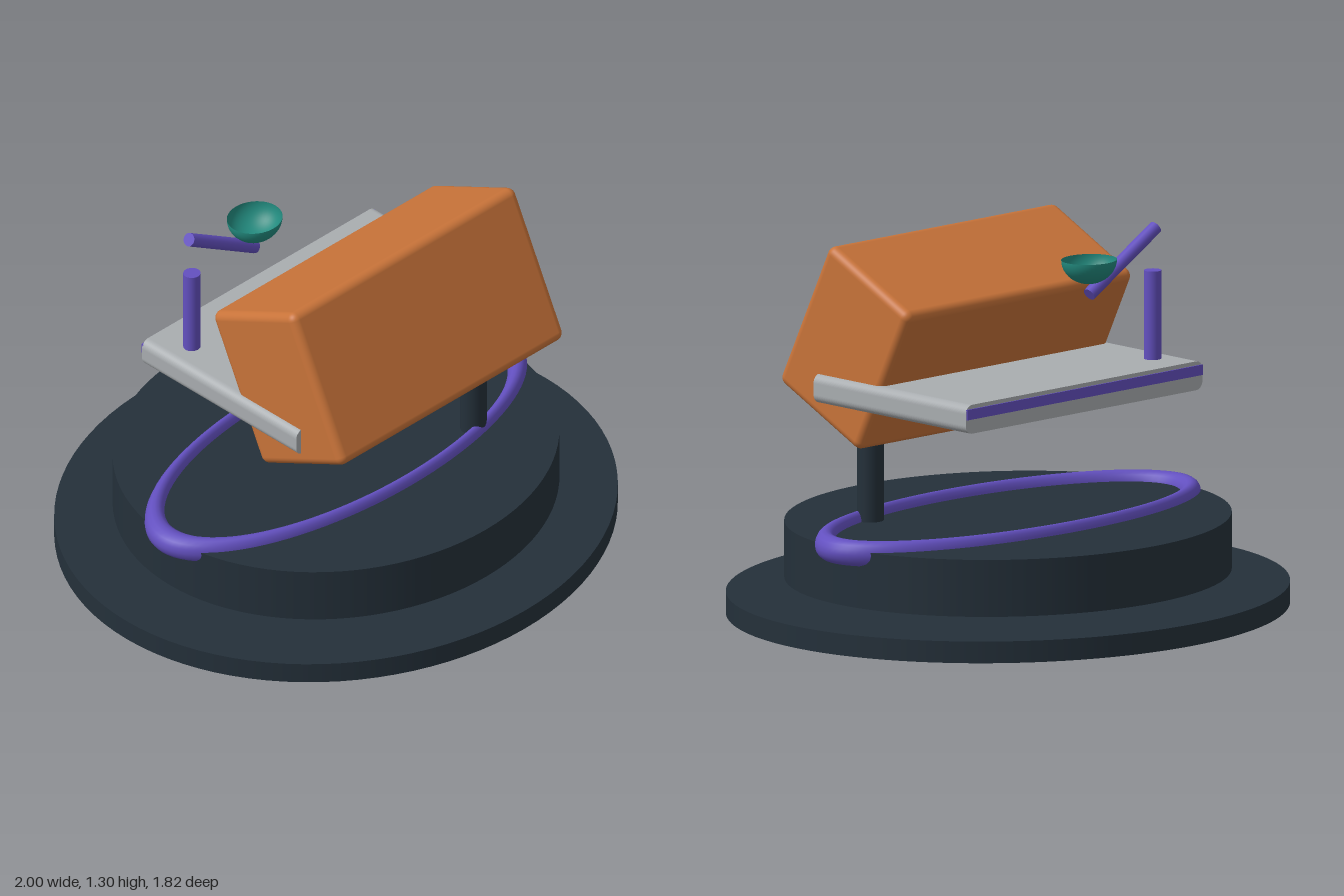
import * as THREE from 'three';
import { RoundedBoxGeometry } from 'three/addons/geometries/RoundedBoxGeometry.js';

const material = (name, color, side = THREE.FrontSide) =>
  Object.assign(new THREE.MeshStandardMaterial({ color, side }), { name });

export function createModel() {
  const slate = material('dark slate', 0x24303a);
  const orange = material('orange', 0xc87339);
  const grey = material('light grey', 0xa9adb0);
  const purple = material('purple', 0x6350c0);
  const teal = material('teal', 0x228a7e, THREE.DoubleSide);

  const model = new THREE.Group();
  const add = (name, geometry, mat, x = 0, y = 0, z = 0) => {
    const mesh = new THREE.Mesh(geometry, mat);
    mesh.name = name;
    mesh.position.set(x, y, z);
    model.add(mesh);
    return mesh;
  };
  // Upright cylinder between two heights, squashed along z
  const column = (name, mat, r, y0, y1, x = 0, z = 0, squash = 0.908) =>
    add(name, new THREE.CylinderGeometry(r, r, y1 - y0, r > 0.1 ? 96 : 24).scale(1, 1, squash),
      mat, x, (y0 + y1) / 2, z);

  // Oval base plate with a drum floating just above it
  column('basePlate', slate, 1, 0, 0.075);
  column('drum', slate, 0.793, 0.12, 0.317);

  // Long oval ring set into the drum top
  add('ovalRing', new THREE.TorusGeometry(0.797, 0.045, 16, 96).rotateX(Math.PI / 2).scale(1, 1, 0.428),
    purple, 0, 0.307, 0);

  // Support post rising through the drum into the body
  column('supportPost', slate, 0.046, 0.07, 0.76, 0.39, 0.268, 0.98);

  // Tilted body block
  const body = add('body', new RoundedBoxGeometry(1.072, 0.566, 0.438, 4, 0.03), orange, 0, 0.933, 0.2525);
  body.rotation.x = -0.454;

  // Tray: slab with rounded left and right edges, square front and back
  const w = 0.558, h = 0.05, r = 0.03;
  const profile = new THREE.Shape();
  profile.absarc(w - r, h - r, r, 0, Math.PI / 2);
  profile.absarc(-w + r, h - r, r, Math.PI / 2, Math.PI);
  profile.absarc(-w + r, -h + r, r, Math.PI, Math.PI * 1.5);
  profile.absarc(w - r, -h + r, r, Math.PI * 1.5, Math.PI * 2);
  const slab = new THREE.ExtrudeGeometry(profile, { depth: 0.742, bevelEnabled: false, curveSegments: 6 });
  add('tray', slab.translate(0, 0, -0.371), grey, 0, 0.779, 0);
  add('trayStripe', new THREE.BoxGeometry(1.11, 0.036, 0.008), purple, 0, 0.797, -0.372);

  // Mast standing on the tray, and the slanted arm above it
  column('mast', purple, 0.03, 0.82, 1.135, -0.457, -0.233, 0.97);
  const arm = add('arm', new THREE.CylinderGeometry(0.023, 0.023, 0.366, 20), purple, -0.314, 1.187, -0.233);
  arm.rotation.z = 1.03;

  // Open bowl on the end of the arm
  const bowl = new THREE.SphereGeometry(0.099, 40, 16, 0, Math.PI * 2, Math.PI / 2, Math.PI / 2);
  add('bowl', bowl.scale(1, 0.84, 0.91), teal, -0.157, 1.214, -0.233);

  return model;
}
